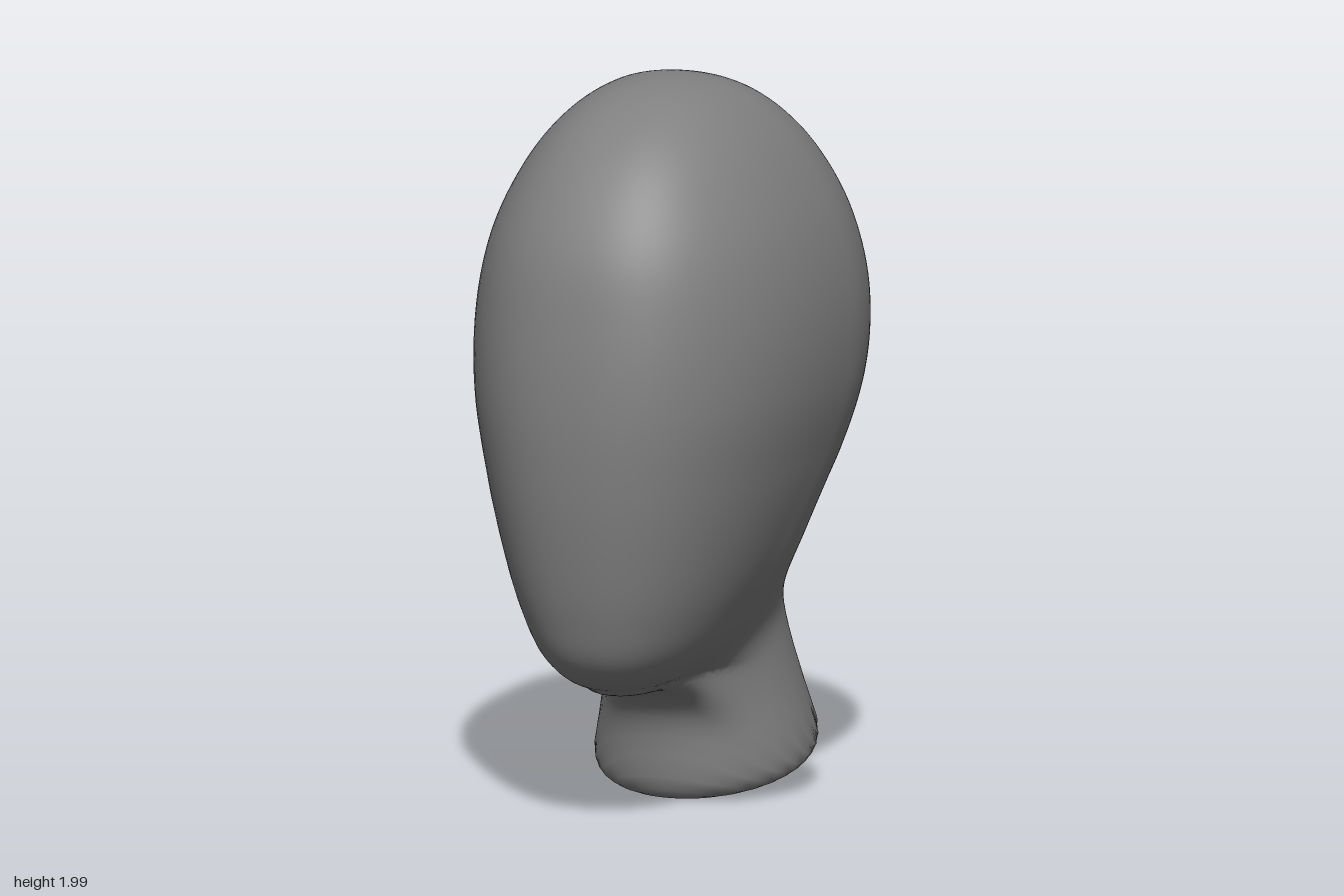
import * as THREE from 'three';
import { mergeVertices } from 'three/addons/utils/BufferGeometryUtils.js';

// Head slices from chin (y = 0.352) to crown (y = 2), spaced by equal angles of a half circle
const FRONT = [0.25, 0.43, 0.54, 0.592, 0.627, 0.65, 0.654, 0.632, 0.585, 0.49, 0.36, 0.195, 0];
const BACK = [0.1, 0, -0.08, -0.21, -0.39, -0.555, -0.638, -0.648, -0.598, -0.5, -0.362, -0.195, 0];
const WIDTH = [0, 0.115, 0.215, 0.293, 0.366, 0.432, 0.481, 0.487, 0.449, 0.372, 0.272, 0.152, 0];
const MID = 1.176, HALF = 0.824, CHIN = 0.352;

// Smooth interpolation through evenly spaced values
function spline(a, u) {
  const n = a.length - 1;
  const i = Math.min(n - 1, Math.floor(u)), t = u - i;
  const p1 = a[i], p2 = a[i + 1];
  const p0 = i > 0 ? a[i - 1] : 2 * p1 - p2;
  const p3 = i < n - 1 ? a[i + 2] : 2 * p2 - p1;
  return p1 + 0.5 * t * (p2 - p0 + t * (2 * p0 - 5 * p1 + 4 * p2 - p3 + t * (3 * (p1 - p2) + p3 - p0)));
}

// Blended union and intersection of two distances
function smoothMin(a, b, k) {
  const h = Math.max(k - Math.abs(a - b), 0) / k;
  return Math.min(a, b) - h * h * k * 0.25;
}
const smoothMax = (a, b, k) => -smoothMin(-a, -b, k);

// Approximate distance to an oval slice, widest at zc; a power above 2 makes its front fuller
function oval(x, z, front, back, width, zc, power) {
  const depth = Math.max(z > zc ? front - zc : zc - back, 1e-4);
  const w = Math.max(width, 1e-4);
  const n = z > zc ? power : 2;
  const r = Math.pow(Math.pow(Math.abs(x) / w, n) + Math.pow(Math.abs(z - zc) / depth, n), 1 / n);
  return (r - 1) * Math.max(w, 0.05);
}

// Egg-shaped head with a rounded, flat underside at the chin
function headDistance(x, y, z) {
  const c = THREE.MathUtils.clamp((MID - Math.max(y, 0.38)) / HALF, -1, 1);
  const u = Math.acos(c) / Math.PI * 12;
  const front = spline(FRONT, u), back = spline(BACK, u);
  const side = oval(x, z, front, back, spline(WIDTH, u), back + 0.4 * (front - back), 2.35);
  return Math.max(smoothMax(side, CHIN - y, 0.06), y - MID - HALF);
}

// Backward-leaning neck, flared at the foot and cut by a sloping base
function neckDistance(x, y, z) {
  const front = 0.04 + 0.1 * Math.max(0, y - 0.25);
  const back = -0.575 + 0.45 * (y - 0.2);
  const width = 0.24 + 0.075 * Math.pow(Math.max(0, (0.5 - y) / 0.4), 1.5);
  const side = oval(x, z, front, back, width, (front + back) / 2, 2);
  const base = (-0.25 * z - y) / 1.03;
  return Math.max(smoothMax(side, base, 0.1), y - 0.85);
}

const distance = (p) => smoothMin(headDistance(p.x, p.y, p.z), neckDistance(p.x, p.y, p.z), 0.2);

export function createModel() {
  const grey = new THREE.MeshStandardMaterial({ color: 0x808080 });
  grey.name = 'mannequin grey';

  // Push every point of a sphere outward from inside the head until it meets the surface
  const sphere = new THREE.SphereGeometry(1, 144, 144);
  sphere.deleteAttribute('uv');
  sphere.deleteAttribute('normal');
  const geometry = mergeVertices(sphere, 1e-5);
  const pos = geometry.attributes.position;
  const centre = new THREE.Vector3(0, 0.9, -0.2);
  const dir = new THREE.Vector3(), p = new THREE.Vector3();
  for (let i = 0; i < pos.count; i++) {
    dir.fromBufferAttribute(pos, i).normalize();
    let inside = 0, outside = 1.6;
    for (let s = 0; s < 26; s++) {
      const r = (inside + outside) / 2;
      p.copy(centre).addScaledVector(dir, r);
      if (distance(p) < 0) inside = r; else outside = r;
    }
    p.copy(centre).addScaledVector(dir, inside);
    pos.setXYZ(i, p.x, p.y, p.z);
  }

  // Stand it on the ground and centre it front to back
  geometry.computeBoundingBox();
  const b = geometry.boundingBox;
  geometry.translate(0, -b.min.y, -(b.min.z + b.max.z) / 2);
  geometry.computeVertexNormals();

  const head = new THREE.Mesh(geometry, grey);
  head.name = 'headAndNeck';
  const group = new THREE.Group();
  group.name = 'mannequinHead';
  group.add(head);
  return group;
}
